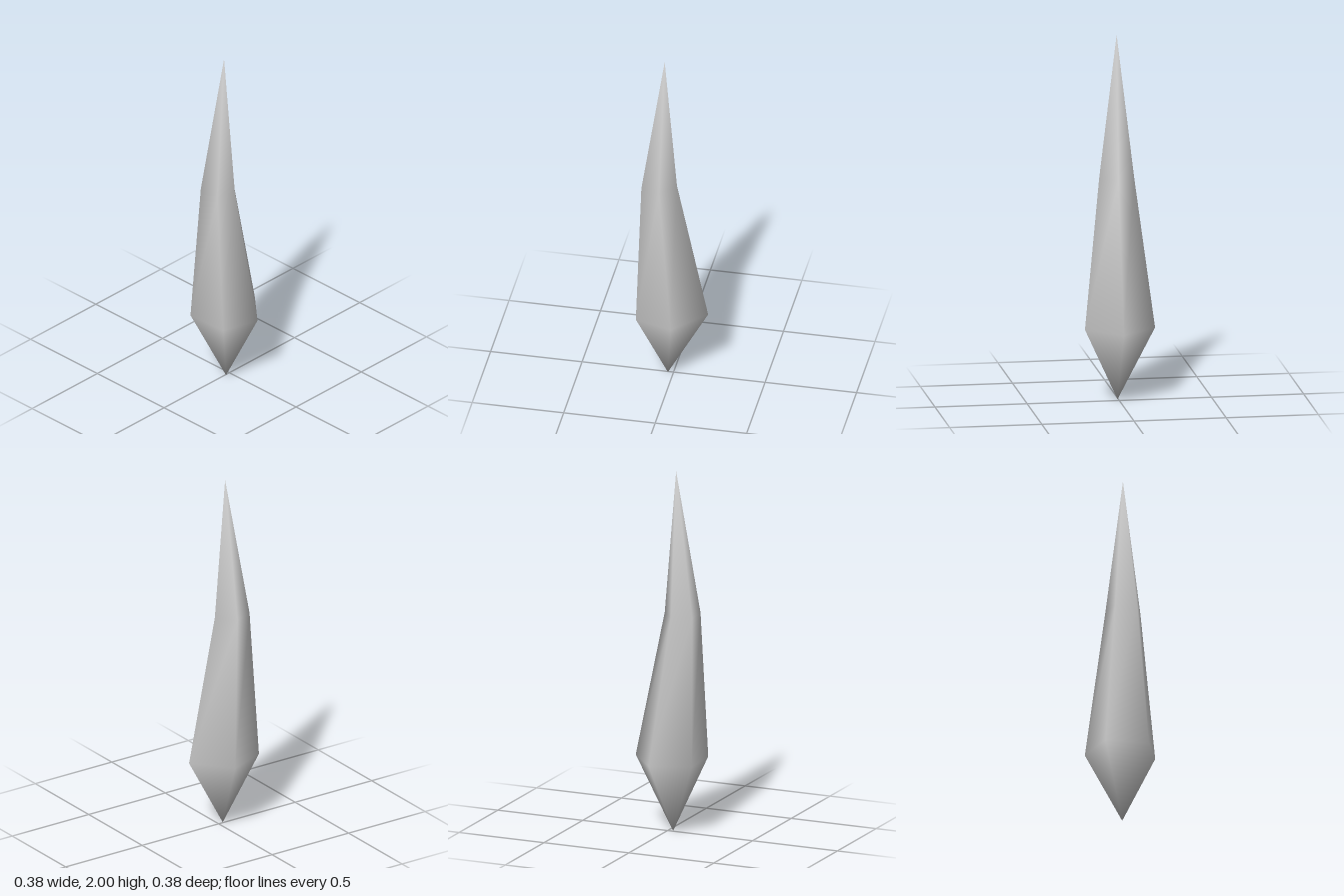
import * as THREE from 'three';

// Five-sided cross-sections, each corner as [x, z], running counter-clockwise from above
const RINGS = [
  { y: 0.4, corners: [[-0.105, 0.19], [0.13, 0.18], [0.19, -0.022], [0.005, -0.19], [-0.19, -0.025]] },
  { y: 1.21, corners: [[-0.05, 0.167], [0.07, 0.162], [0.1, 0.06], [0.007, -0.02], [-0.09, 0.06]] },
];
const BOTTOM_TIP = [0.005, 0, 0.03];
const TOP_TIP = [0.007, 2, 0.047];

// Closed spindle: bottom tip, rings, top tip, with shared corners for smooth shading
function spindleGeometry(bottom, rings, top) {
  const n = rings[0].corners.length;
  const positions = [...bottom];
  for (const { y, corners } of rings) {
    for (const [x, z] of corners) positions.push(x, y, z);
  }
  positions.push(...top);

  const topIndex = 1 + rings.length * n;
  const at = (ring, i) => 1 + ring * n + (i % n);
  const index = [];
  for (let i = 0; i < n; i++) {
    index.push(0, at(0, i + 1), at(0, i));
    for (let r = 0; r < rings.length - 1; r++) {
      const a = at(r, i), b = at(r, i + 1), c = at(r + 1, i + 1), d = at(r + 1, i);
      index.push(a, b, c, a, c, d);
    }
    index.push(at(rings.length - 1, i), at(rings.length - 1, i + 1), topIndex);
  }

  const geometry = new THREE.BufferGeometry();
  geometry.setAttribute('position', new THREE.Float32BufferAttribute(positions, 3));
  geometry.setIndex(index);
  geometry.computeVertexNormals();
  return geometry;
}

export function createModel() {
  const group = new THREE.Group();
  group.name = 'crystalShard';

  const material = new THREE.MeshStandardMaterial({ color: 0xcccccc, side: THREE.DoubleSide });
  const shard = new THREE.Mesh(spindleGeometry(BOTTOM_TIP, RINGS, TOP_TIP), material);
  shard.name = 'shard';
  group.add(shard);
  return group;
}
